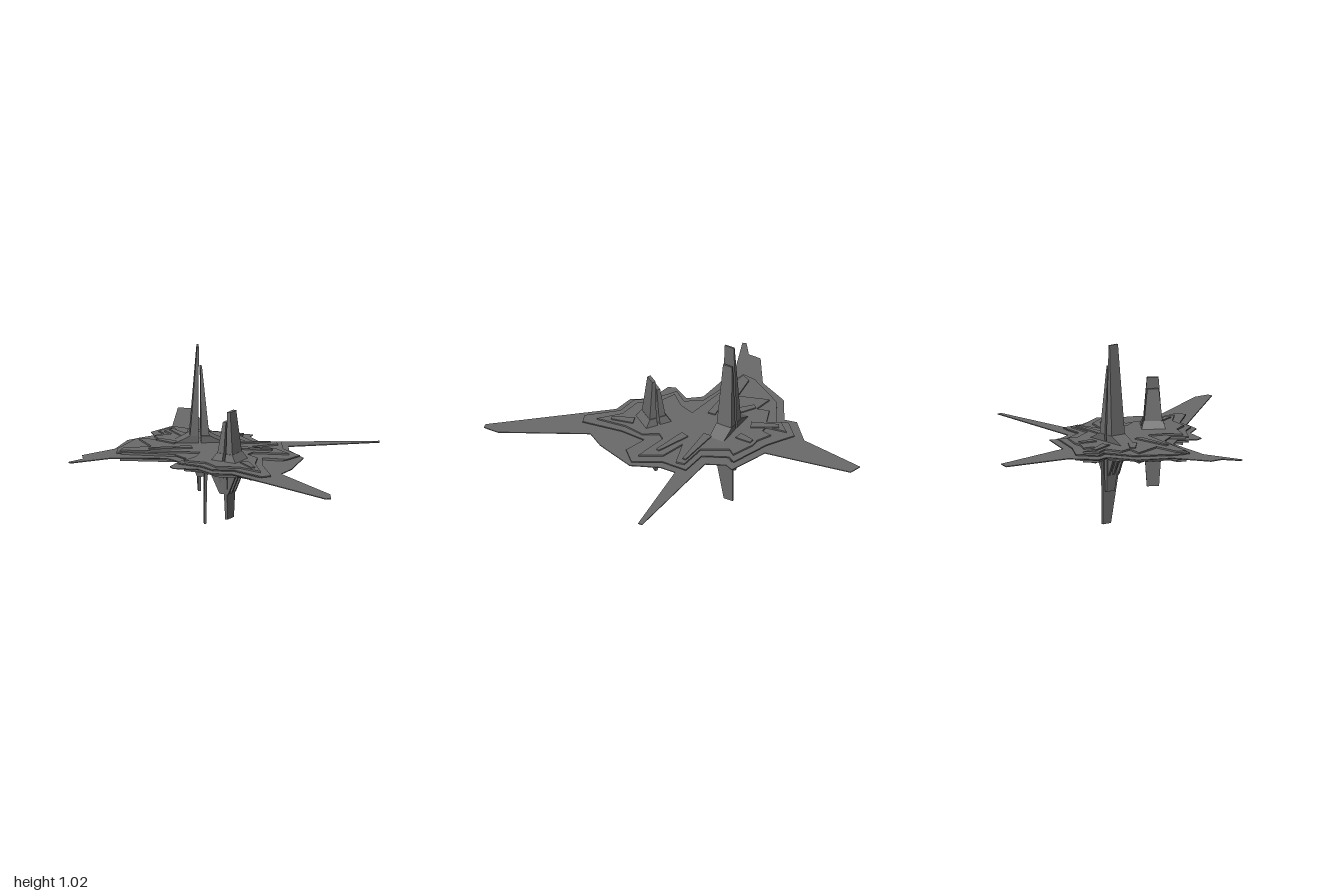
import * as THREE from 'three';

const hullGrey = new THREE.MeshStandardMaterial({ color: 0x6a6a6a, flatShading: true });
hullGrey.name = 'hullGrey';

function add(parent, geometry, name) {
  const mesh = new THREE.Mesh(geometry, hullGrey);
  mesh.name = name;
  parent.add(mesh);
  return mesh;
}

// Flat slab with an [x, z] outline between two heights
function slab(parent, name, outline, y0, y1) {
  const shape = new THREE.Shape(outline.map(([x, z]) => new THREE.Vector2(x, z)));
  const g = new THREE.ExtrudeGeometry(shape, { depth: y1 - y0, bevelEnabled: false });
  g.rotateX(Math.PI / 2);
  g.translate(0, y1, 0);
  return add(parent, g, name);
}

// Box whose lower and upper rectangles [x0, x1, z0, z1] differ
function taper(parent, name, y0, lower, y1, upper) {
  const g = new THREE.BoxGeometry(1, 1, 1);
  const p = g.attributes.position;
  for (let i = 0; i < p.count; i++) {
    const top = p.getY(i) > 0;
    const r = top ? upper : lower;
    p.setXYZ(i, r[p.getX(i) > 0 ? 1 : 0], top ? y1 : y0, r[p.getZ(i) > 0 ? 3 : 2]);
  }
  g.computeVertexNormals();
  return add(parent, g, name);
}

const scaled = (pts, s, cx, cz) => pts.map(([x, z]) => [cx + (x - cx) * s, cz + (z - cz) * s]);

// Thin star-shaped plate with its five long spikes
const starOutline = [
  [-0.2, -1], [-0.13, -0.98], [-0.045, -0.48], [0.18, -0.4], [0.16, -0.35], [0.21, -0.245],
  [0.87, -0.225], [0.87, -0.2], [0.36, -0.14], [0.36, -0.05], [0.43, 0.11], [0.35, 0.345],
  [0.285, 0.445], [0.53, 0.895], [0.53, 0.985], [0.5, 0.99], [0.015, 0.435], [-0.1, 0.415],
  [-0.165, 0.32], [-0.305, 0.29], [-0.32, 0.25], [-0.265, 0.15], [-0.325, 0.077],
  [-0.63, 0.05], [-0.865, 0.14], [-0.875, 0.12], [-0.79, 0.055], [-0.79, -0.02],
  [-0.6, -0.145], [-0.52, -0.325], [-0.365, -0.42], [-0.38, -0.49], [-0.255, -0.61],
];

// Inset plates
const deckOutline = [
  [-0.25, -0.55], [-0.1, -0.46], [0.13, -0.38], [0.1, -0.34], [0.17, -0.2], [0.325, -0.19],
  [0.325, -0.04], [0.41, 0.11], [0.33, 0.19], [0.2, 0.15], [0.19, 0.3], [0.225, 0.53],
  [0.17, 0.55], [0.03, 0.4], [-0.09, 0.385], [-0.15, 0.3], [-0.28, 0.22], [-0.22, 0.14],
  [-0.28, 0.05], [-0.6, -0.02], [-0.59, -0.1], [-0.47, -0.31], [-0.31, -0.4], [-0.34, -0.46],
];

// Deeply notched raised body
const bodyOutline = [
  [-0.25, -0.5], [-0.23, -0.38], [-0.19, -0.38], [-0.18, -0.44], [-0.1, -0.4], [-0.05, -0.4],
  [0.08, -0.35], [0.05, -0.31], [0.13, -0.17], [0.29, -0.16], [0.3, -0.11], [0.14, -0.06],
  [0.28, -0.02], [0.35, 0.1], [0.15, 0.06], [0.12, 0.1], [0.17, 0.18], [0.15, 0.3],
  [0.17, 0.47], [0.06, 0.37], [-0.07, 0.35], [-0.12, 0.26], [-0.24, 0.21], [-0.17, 0.13],
  [-0.14, 0.04], [-0.26, 0.02], [-0.58, -0.03], [-0.56, -0.08], [-0.4, -0.1],
  [-0.46, -0.27], [-0.35, -0.25], [-0.37, -0.32], [-0.27, -0.36], [-0.31, -0.43],
];

// Low radial ridges: from, to, width at the inner and outer end
const ridges = [
  [[-0.18, -0.06], [-0.42, -0.04], 0.045, 0.02],
  [[-0.26, -0.16], [-0.36, -0.235], 0.05, 0.03],
  [[-0.2, -0.3], [-0.27, -0.44], 0.05, 0.025],
  [[-0.08, -0.29], [-0.07, -0.38], 0.05, 0.03],
  [[0, -0.14], [0.26, -0.14], 0.05, 0.02],
  [[0.06, -0.03], [0.26, 0.03], 0.05, 0.02],
  [[0.09, 0.28], [0.13, 0.4], 0.05, 0.025],
];

// Pair of tapered spires on split pedestals above, blades with a flared root below
function tower(name, x, z, angle, o) {
  const t = new THREE.Group();
  t.name = name;
  t.position.set(x, 0, z);
  t.rotation.y = angle;
  const w = o.width;
  [[-1, o.tall], [1, o.short]].forEach(([s, top]) => {
    const span = (a, b, zw) => [Math.min(s * a, s * b), Math.max(s * a, s * b), -zw, zw];
    taper(t, 'pedestal', 0.47, span(0.008, o.foot, o.footWidth), 0.515, span(0.008, o.thick, w * 1.05));
    taper(t, 'spire', 0.5, span(0.008, o.thick, w), top, span(0.004, o.tip, w * 0.62));
  });
  // Blades below
  const [b0, b1] = o.blades;
  taper(t, 'longBlade', b0, [0.025, 0.038, -o.bladeTip - o.lean, o.bladeTip - o.lean],
    0.41, [0.025, 0.042, -w, o.bladeRoot]);
  taper(t, 'shortBlade', b1, [-0.008, 0.008, -o.bladeTip - o.lean, o.bladeTip - o.lean],
    0.41, [-0.012, 0.012, -w, w]);
  // Flared root and small fins
  taper(t, 'flare', 0.28, [0, 0.035, -w * 0.35, w * 0.35], 0.41, [-0.06, 0.1, -w * 0.7, w * 0.7]);
  for (let i = -1; i <= 1; i++) {
    const c = i * w * 0.7;
    taper(t, 'fin', 0.28, [-0.015, 0.04, c - 0.006, c + 0.006], 0.41, [-0.07, 0.11, c - 0.006, c + 0.006]);
  }
  return t;
}

export function createModel() {
  const model = new THREE.Group();
  model.name = 'spikedStation';

  slab(model, 'starPlate', starOutline, 0.446, 0.451);
  slab(model, 'upperDeck', deckOutline, 0.458, 0.465);
  slab(model, 'lowerDeck', deckOutline, 0.43, 0.437);
  slab(model, 'deckCore', scaled(deckOutline, 0.95, -0.05, -0.03), 0.432, 0.463);
  slab(model, 'notchedBody', bodyOutline, 0.412, 0.474);
  slab(model, 'keelPlate', scaled(bodyOutline, 0.53, -0.04, -0.16), 0.395, 0.42);
  slab(model, 'frontKeelPlate', scaled(bodyOutline, 0.2, 0.02, 0.24), 0.395, 0.42);

  // Ridges on the upper side, mirrored underneath
  ridges.forEach(([a, b, wa, wb]) => {
    const dx = b[0] - a[0], dz = b[1] - a[1], l = Math.hypot(dx, dz);
    const nx = -dz / l / 2, nz = dx / l / 2;
    const outline = [
      [a[0] + nx * wa, a[1] + nz * wa], [b[0] + nx * wb, b[1] + nz * wb],
      [b[0] - nx * wb, b[1] - nz * wb], [a[0] - nx * wa, a[1] - nz * wa],
    ];
    slab(model, 'upperRidge', outline, 0.47, 0.481);
    slab(model, 'lowerRidge', outline, 0.404, 0.416);
  });

  model.add(tower('rearTower', -0.13, -0.2, 0, {
    tall: 1.02, short: 0.9, width: 0.047, thick: 0.055, tip: 0.014,
    foot: 0.145, footWidth: 0.045, blades: [0, 0.19], bladeTip: 0.028, bladeRoot: 0.09, lean: 0.017,
  }));
  model.add(tower('frontTower', 0.014, 0.197, Math.PI - 0.6, {
    tall: 0.75, short: 0.69, width: 0.052, thick: 0.05, tip: 0.024,
    foot: 0.08, footWidth: 0.068, blades: [0.28, 0.135], bladeTip: 0.034, bladeRoot: 0.06, lean: 0,
  }));
  return model;
}
